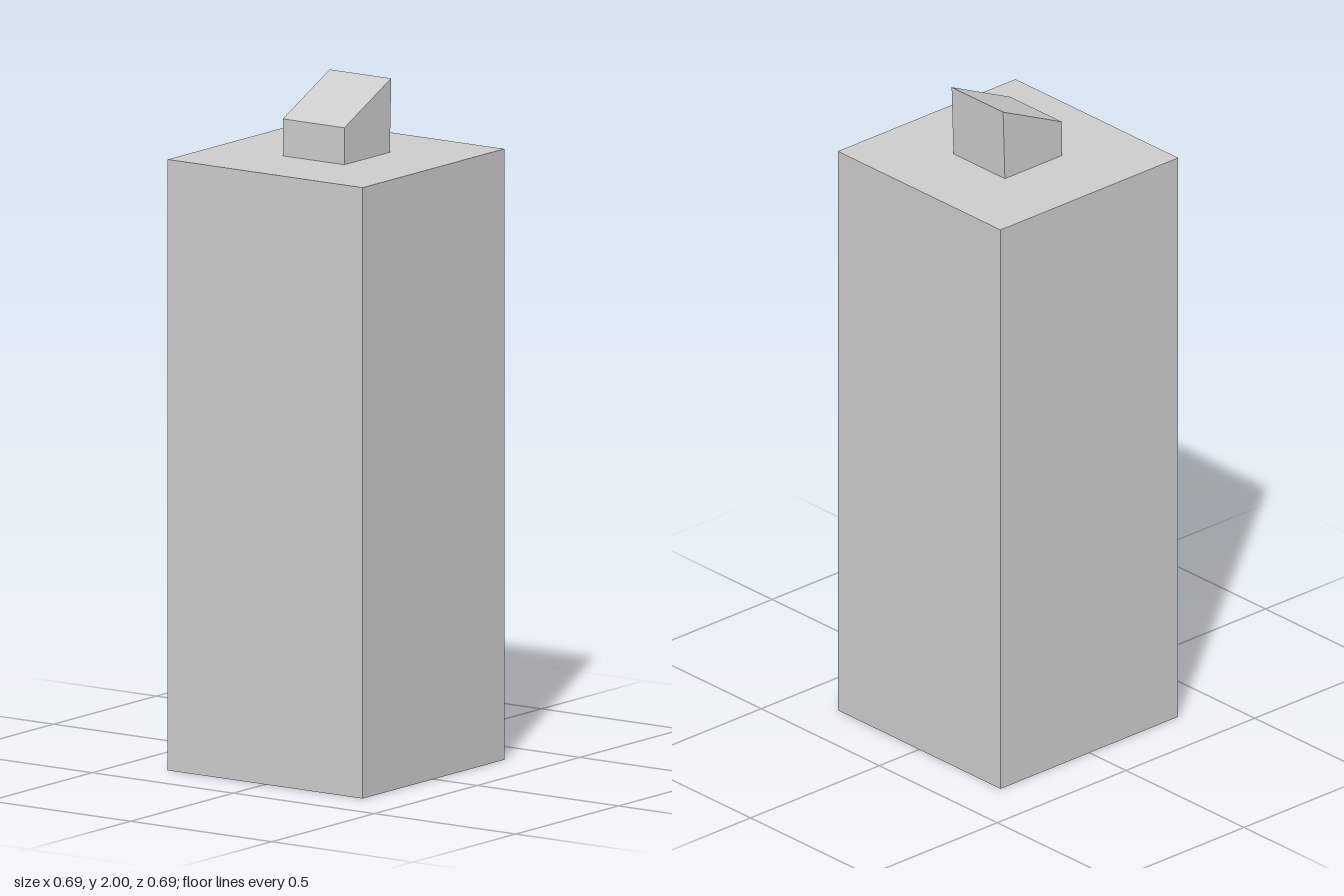
import * as THREE from 'three';

export function createModel() {
  const group = new THREE.Group();
  const material = new THREE.MeshStandardMaterial({ color: 0xcccccc, flatShading: true });

  // Tall square block standing on the ground
  const bodyWidth = 0.69, bodyHeight = 1.785;
  const body = new THREE.Mesh(new THREE.BoxGeometry(bodyWidth, bodyHeight, bodyWidth), material);
  body.name = 'body';
  body.position.y = bodyHeight / 2;
  group.add(body);

  // Small spout: side profile (shape x = model z), sloping down to the front
  const spoutWidth = 0.218;
  const profile = new THREE.Shape([
    new THREE.Vector2(0.109, 0),
    new THREE.Vector2(0.109, 0.108),
    new THREE.Vector2(-0.119, 0.215),
    new THREE.Vector2(-0.112, 0),
  ]);
  const spoutGeometry = new THREE.ExtrudeGeometry(profile, { depth: spoutWidth, bevelEnabled: false });
  spoutGeometry.translate(0, 0, -spoutWidth / 2);
  spoutGeometry.rotateY(-Math.PI / 2);
  const spout = new THREE.Mesh(spoutGeometry, material);
  spout.name = 'spout';
  spout.position.y = bodyHeight;
  group.add(spout);

  return group;
}
